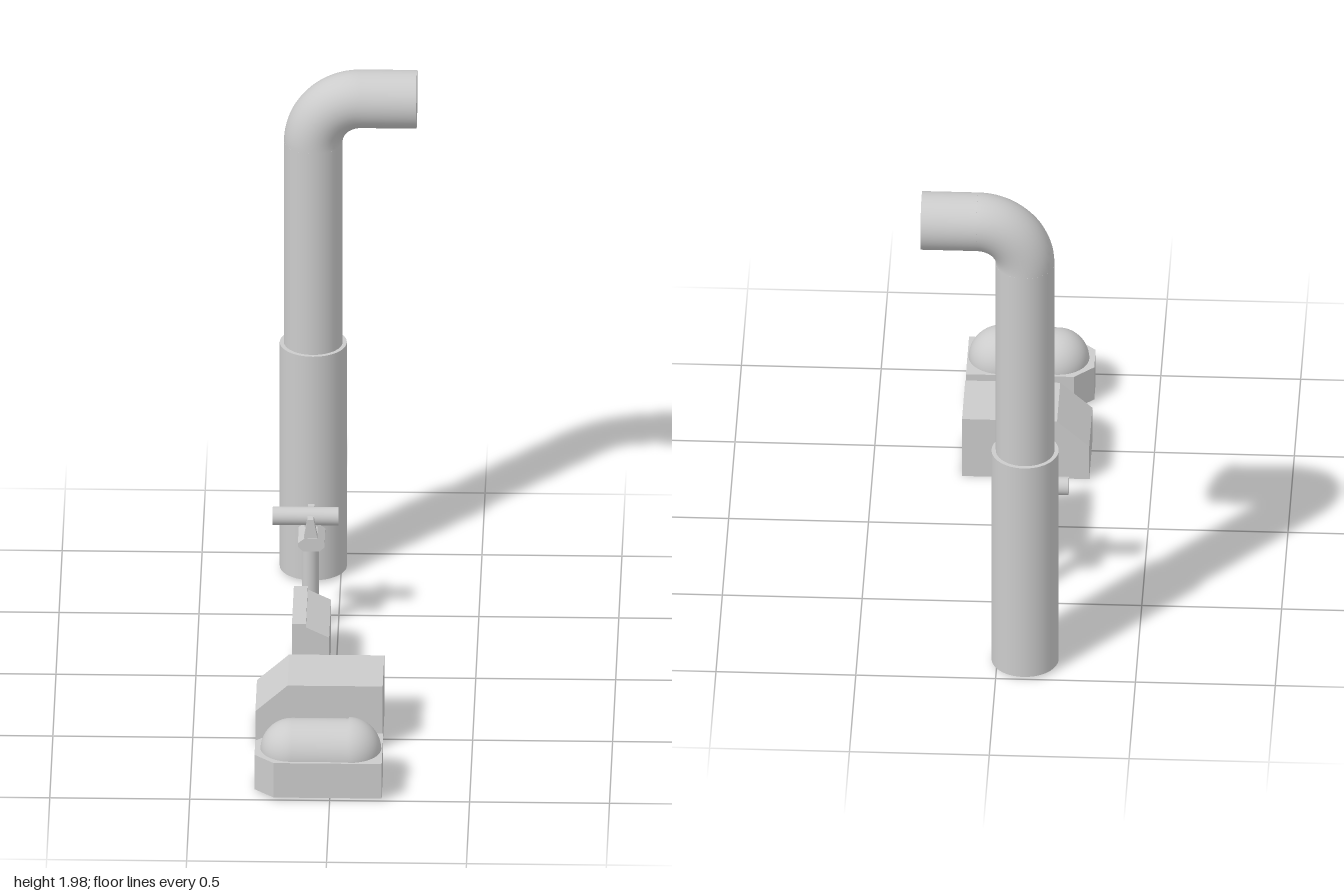
import * as THREE from 'three';

const grey = new THREE.MeshStandardMaterial({ color: 0xcccccc });

function add(parent, name, geometry, x = 0, y = 0, z = 0) {
  const mesh = new THREE.Mesh(geometry, grey);
  mesh.name = name;
  mesh.position.set(x, y, z);
  parent.add(mesh);
  return mesh;
}

// Side profile in x/y, extruded from z0 to z1
function prism(points, z0, z1) {
  const shape = new THREE.Shape(points.map(p => new THREE.Vector2(...p)));
  return new THREE.ExtrudeGeometry(shape, { depth: z1 - z0, bevelEnabled: false }).translate(0, 0, z0);
}

function group(root, name) {
  const g = new THREE.Group();
  g.name = name;
  root.add(g);
  return g;
}

export function createModel() {
  const root = new THREE.Group();
  root.name = 'partsSet';

  // Tall bent pipe in a wider sleeve
  const pipe = group(root, 'bentPipe');
  add(pipe, 'pipeSleeve', new THREE.CylinderGeometry(0.12, 0.12, 0.89, 48), -0.1, 0.455, -0.88);
  const r = 0.105, bend = 0.17, bx = 0.07, by = 1.7;
  add(pipe, 'pipeUpright', new THREE.CylinderGeometry(r, r, by - 0.88, 48), -0.1, (by + 0.88) / 2, -0.88);
  const elbow = add(pipe, 'pipeElbow', new THREE.TorusGeometry(bend, r, 32, 24, Math.PI / 2), bx, by, -0.88);
  elbow.rotation.z = Math.PI / 2;
  const outlet = add(pipe, 'pipeOutlet', new THREE.CylinderGeometry(r, r, 0.2, 48), bx + 0.1, by + bend, -0.88);
  outlet.rotation.z = Math.PI / 2;

  // Post carrying a horizontal tube in a two-pronged cradle
  const stand = group(root, 'tubeStand');
  add(stand, 'post', new THREE.CylinderGeometry(0.03, 0.03, 0.33, 32), -0.1, 0.175, -0.405);
  add(stand, 'cradleBase', prism([
    [-0.125, 0.333], [-0.065, 0.333], [-0.048, 0.35], [-0.048, 0.36],
    [-0.075, 0.383], [-0.12, 0.383], [-0.143, 0.365], [-0.143, 0.35],
  ], -0.47, -0.338));
  for (const z of [-0.468, -0.37]) {
    add(stand, 'cradleProng', prism([
      [-0.122, 0.38], [-0.073, 0.38], [-0.087, 0.457], [-0.109, 0.457],
    ], z, z + 0.03));
  }
  const tube = add(stand, 'tube', new THREE.CylinderGeometry(0.033, 0.033, 0.235, 32), -0.117, 0.441, -0.405);
  tube.rotation.z = Math.PI / 2;

  // Narrow block with a raised ridge and a sloping top
  add(root, 'ridgedBlock', prism([
    [-0.155, 0.01], [-0.022, 0.01], [-0.022, 0.197], [-0.105, 0.237], [-0.105, 0.25], [-0.155, 0.25],
  ], -0.225, 0.083));

  // Large block with a sloping end
  add(root, 'slopedBlock', prism([
    [-0.275, 0], [0.18, 0], [0.18, 0.243], [-0.16, 0.243], [-0.275, 0.14],
  ], 0.315, 0.567));

  // Tray with two cut corners and a rounded tank lying in it
  const tank = group(root, 'tankTray');
  const tray = prism([
    [-0.27, -0.057], [-0.2, -0.123], [0.186, -0.123], [0.186, 0.123], [-0.2, 0.123], [-0.27, 0.057],
  ], 0.01, 0.147).rotateX(-Math.PI / 2);
  add(tank, 'tray', tray, 0, 0, 0.877);
  const body = add(tank, 'tankBody', new THREE.CapsuleGeometry(0.112, 0.2, 16, 40), -0.038, 0.143, 0.877);
  body.rotation.z = Math.PI / 2;
  const cap = add(tank, 'tankEndCap', new THREE.SphereGeometry(0.117, 40, 16, 0, Math.PI * 2, 0, Math.PI / 2), 0.065, 0.143, 0.877);
  cap.rotation.z = -Math.PI / 2;

  return root;
}
